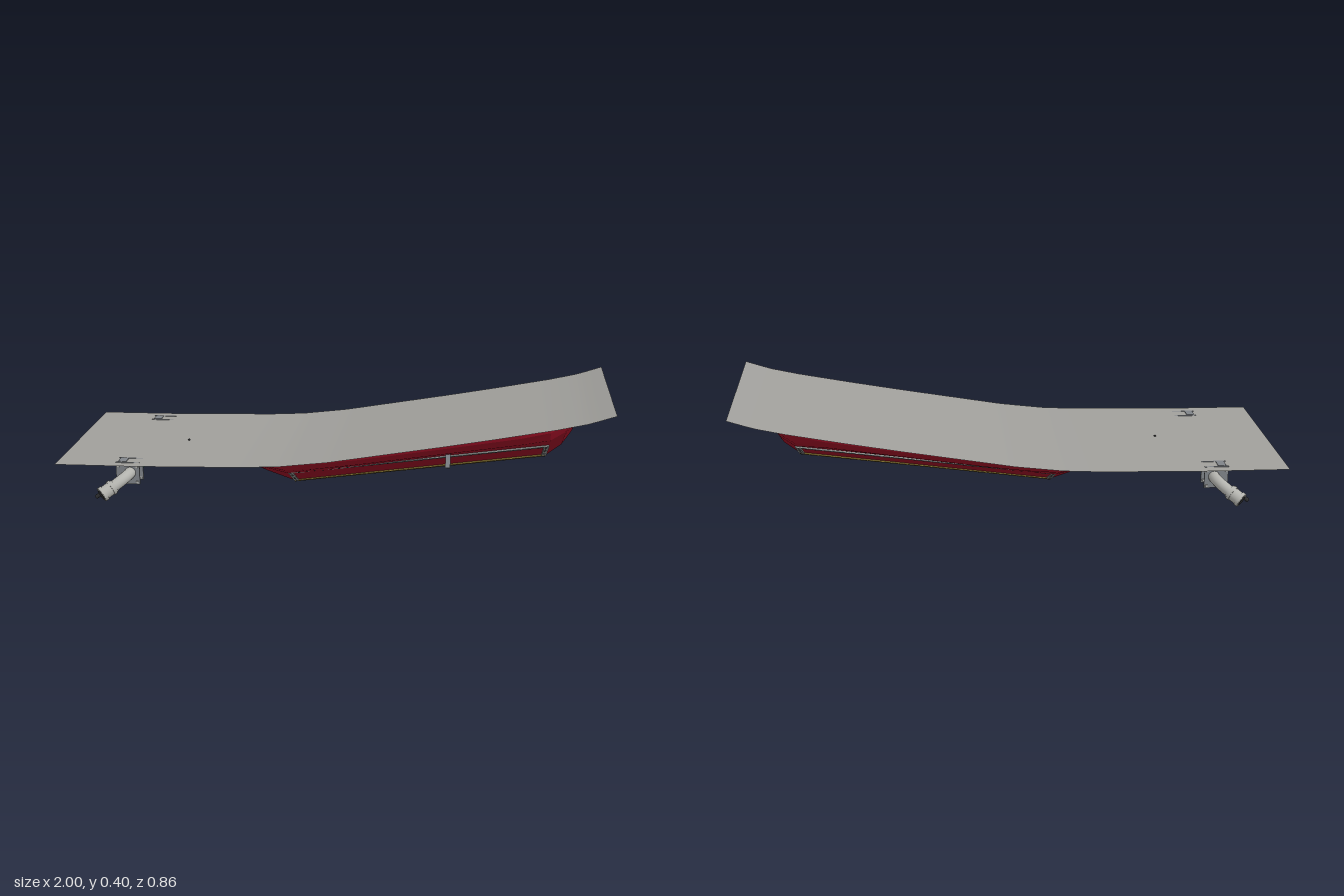
import * as THREE from 'three';
import { mergeGeometries } from 'three/addons/utils/BufferGeometryUtils.js';

const V = (x, y, z) => new THREE.Vector3(x, y, z);
const lerpTable = (table, x) => {
  for (let i = 1; i < table.length; i++) {
    const [x0, y0] = table[i - 1], [x1, y1] = table[i];
    if (x <= x1) return y0 + (y1 - y0) * (x - x0) / (x1 - x0);
  }
  return table[table.length - 1][1];
};

// Height of the bent sheet along x
const SHEET = [[-1, 0.152], [-0.7, 0.156], [-0.49, 0.162], [-0.3, 0.168], [-0.17, 0.176], [0, 0.198],
  [0.2, 0.234], [0.4, 0.27], [0.6, 0.308], [0.8, 0.348], [0.91, 0.374], [1, 0.405]];
const sheetY = x => lerpTable(SHEET, x);

// Hull stations: x, half width at the deck, keel height
const STATIONS = [[-0.49, 0.004, 0.157], [-0.47, 0.065, 0.142], [-0.42, 0.125, 0.112], [-0.35, 0.17, 0.075],
  [-0.27, 0.205, 0.042], [-0.165, 0.238, 0.006], [-0.05, 0.256, 0.023], [0.1, 0.265, 0.045], [0.4, 0.266, 0.0895],
  [0.68, 0.265, 0.131], [0.785, 0.245, 0.146], [0.84, 0.208, 0.19], [0.875, 0.16, 0.245], [0.897, 0.1, 0.31],
  [0.907, 0.045, 0.35], [0.91, 0.004, 0.369]];

function hullGeometry() {
  const pos = [], idx = [], n = 9;
  for (const [x, w, k] of STATIONS) {
    const d = sheetY(x) - 0.002, h = d - k;
    const zc = w > 0.236 ? 0.17 : 0.7 * w;
    const yc = Math.min(zc * 0.56, 0.53 * h);
    // half section: deck edge, topside, bilge, chine, keel
    const half = [[w, d], [w * 0.97, k + yc + (h - yc) * 0.65], [zc + (w - zc) * 0.6, k + yc + (h - yc) * 0.3], [zc, k + yc]];
    const ring = [...half, [0, k], ...half.slice().reverse().map(([z, y]) => [-z, y])];
    ring.forEach(([z, y]) => pos.push(x, y, z));
  }
  for (let i = 0; i < STATIONS.length - 1; i++) {
    for (let j = 0; j < n - 1; j++) {
      const a = i * n + j, b = a + 1, c = a + n, e = c + 1;
      idx.push(a, b, c, b, e, c);
    }
  }
  const g = new THREE.BufferGeometry();
  g.setAttribute('position', new THREE.Float32BufferAttribute(pos, 3));
  g.setIndex(idx);
  g.computeVertexNormals();
  return g;
}

export function createModel() {
  const model = new THREE.Group();
  const material = (name, color) => {
    const m = new THREE.MeshStandardMaterial({ color });
    m.name = name;
    return m;
  };
  const sheetGrey = material('sheet grey', 0xa09f9b);
  const red = material('hull red', 0x920e22);
  const stripGrey = material('strip grey', 0x8f9290);
  const gold = material('keel gold', 0x7d6a2c);
  const pipeGrey = material('pipe grey', 0xb3b3ae);
  const steel = material('valve grey', 0x7f8388);
  const teal = material('coupling teal', 0x2a8d84);
  const dark = material('dark', 0x2c2d2f);
  sheetGrey.side = THREE.DoubleSide;
  red.side = THREE.DoubleSide;
  red.flatShading = true;

  const add = (name, geo, mat, parent = model) => {
    const m = new THREE.Mesh(geo, mat);
    m.name = name;
    parent.add(m);
    return m;
  };
  const box = (name, size, p, mat, parent) => {
    const m = add(name, new THREE.BoxGeometry(...size), mat, parent);
    m.position.set(...p);
    return m;
  };
  // Cylinder running from point a to point b
  const rod = (name, a, b, r, mat, parent, sides = 20) => {
    const dir = b.clone().sub(a);
    const m = add(name, new THREE.CylinderGeometry(r, r, dir.length(), sides), mat, parent);
    m.position.copy(a).add(b).multiplyScalar(0.5);
    m.quaternion.setFromUnitVectors(V(0, 1, 0), dir.normalize());
    return m;
  };

  // Bent sheet
  const sheet = new THREE.PlaneGeometry(2, 0.66, 60, 1).rotateX(-Math.PI / 2);
  const sp = sheet.attributes.position;
  for (let i = 0; i < sp.count; i++) sp.setY(i, sheetY(sp.getX(i)));
  sheet.computeVertexNormals();
  add('sheet', sheet, sheetGrey);

  add('hull', hullGeometry(), red);

  // Perforated strips framing the flat bottom panel on each side
  for (const s of [1, -1]) {
    const frame = new THREE.Group();
    frame.name = s > 0 ? 'leftPanelFrame' : 'rightPanelFrame';
    model.add(frame);
    const X = V(1, 0.147, 0).normalize(), U = V(0, 0.095, 0.17 * s).normalize();
    const N = X.clone().cross(U).normalize();
    const basis = new THREE.Matrix4().makeBasis(X, U, N).setPosition(-0.165, 0.007, 0);
    const L = 0.96, W = 0.194, T = 0.018;
    const plate = (x0, x1, u0, u1, h) => new THREE.BoxGeometry(x1 - x0, u1 - u0, h)
      .translate((x0 + x1) / 2, (u0 + u1) / 2, s * h / 2).applyMatrix4(basis);
    add('chineStrip', plate(0, L, W - T, W, 0.006), stripGrey, frame);
    add('sternStrip', plate(0, T, T, W - T, 0.006), stripGrey, frame);
    add('bowStrip', plate(L - T, L, T, W - T, 0.006), stripGrey, frame);
    add('keelStrip', plate(0, L, 0.001, T, 0.006), gold, frame);
    const holes = [];
    const hole = (x, u) => holes.push(plate(x - 0.004, x + 0.004, u - 0.004, u + 0.004, 0.0068));
    for (let i = 0; i < 32; i++) {
      const x = T / 2 + i * (L - T) / 31;
      hole(x, T / 2);
      hole(x, W - T / 2);
    }
    for (let i = 1; i < 6; i++) {
      hole(T / 2, T / 2 + i * (W - T) / 6);
      hole(L - T / 2, T / 2 + i * (W - T) / 6);
    }
    add('stripHoles', mergeGeometries(holes), dark, frame);
  }

  // Small fin on the left bilge
  const fin = box('sideFin', [0.018, 0.056, 0.02], [0.425, 0.18, 0.203], steel);
  fin.rotation.x = -0.42;

  // Centre pipe, tee and cross pipe behind the stern
  const px = -0.73, py = 0.118;
  rod('centrePipe', V(-0.43, py, 0), V(px, py, 0), 0.018, pipeGrey);
  rod('crossPipe', V(px, py, -0.25), V(px, py, 0.25), 0.02, pipeGrey);
  rod('teeSleeve', V(px, py, -0.04), V(px, py, 0.04), 0.025, pipeGrey);
  const coupling = (a, b) => {
    const at = t => a.clone().lerp(b, t);
    rod('coupling', a, b, 0.024, teal);
    rod('couplingRing', at(0), at(0.25), 0.029, teal);
    rod('couplingRing', at(0.75), at(1), 0.029, teal);
  };
  coupling(V(-0.51, py + 0.003, 0), V(-0.455, py + 0.003, 0));
  coupling(V(-0.69, py, 0), V(-0.645, py, 0));
  rod('centreValveHandle', V(-0.585, py + 0.015, 0.01), V(-0.568, 0.163, 0.02), 0.004, dark, model, 8);

  // Valve, lever and outlet elbow on each side
  for (const s of [1, -1]) {
    coupling(V(px, py, s * 0.15), V(px, py, s * 0.195));
    const valve = new THREE.Group();
    valve.name = s > 0 ? 'leftValve' : 'rightValve';
    model.add(valve);
    box('valveBody', [0.06, 0.07, 0.042], [-0.738, 0.115, s * 0.265], steel, valve);
    box('valveTop', [0.03, 0.02, 0.04], [-0.76, 0.148, s * 0.265], steel, valve);
    for (const d of [-0.025, 0.025]) {
      box('valveFlange', [0.088, 0.083, 0.006], [-0.738, 0.1155, s * (0.265 + d)], steel, valve);
      for (const bx of [-0.035, 0.035]) for (const by of [-0.032, 0.028]) {
        box('flangeBolt', [0.008, 0.008, 0.014], [-0.738 + bx, 0.115 + by, s * (0.265 + d)], pipeGrey, valve);
      }
    }
    const a = V(-0.765, 0.09, s * 0.274), b = V(-0.865, 0.014, s * 0.285);
    rod('leverRod', a, b, 0.004, steel, valve, 8);
    rod('leverGrip', a.clone().lerp(b, 0.68), b, 0.0075, dark, valve, 10);

    const path = new THREE.CatmullRomCurve3([V(px, py, s * 0.27), V(px, py, s * 0.31),
      V(-0.742, 0.111, s * 0.345), V(-0.765, 0.096, s * 0.373), V(-0.792, 0.079, s * 0.396)]);
    add('outletElbow', new THREE.TubeGeometry(path, 24, 0.021, 18), pipeGrey, valve);
    const end = V(-0.806, 0.07, s * 0.407), start = V(-0.767, 0.095, s * 0.374);
    const at = t => start.clone().lerp(end, t);
    rod('outletNozzle', at(0), at(1), 0.025, pipeGrey, valve);
    rod('outletRing', at(0.1), at(0.3), 0.028, pipeGrey, valve);
    rod('outletRing', at(0.75), at(0.98), 0.028, pipeGrey, valve);
    rod('outletMouth', at(0.98), at(1.02), 0.02, dark, valve);
  }
  return model;
}
